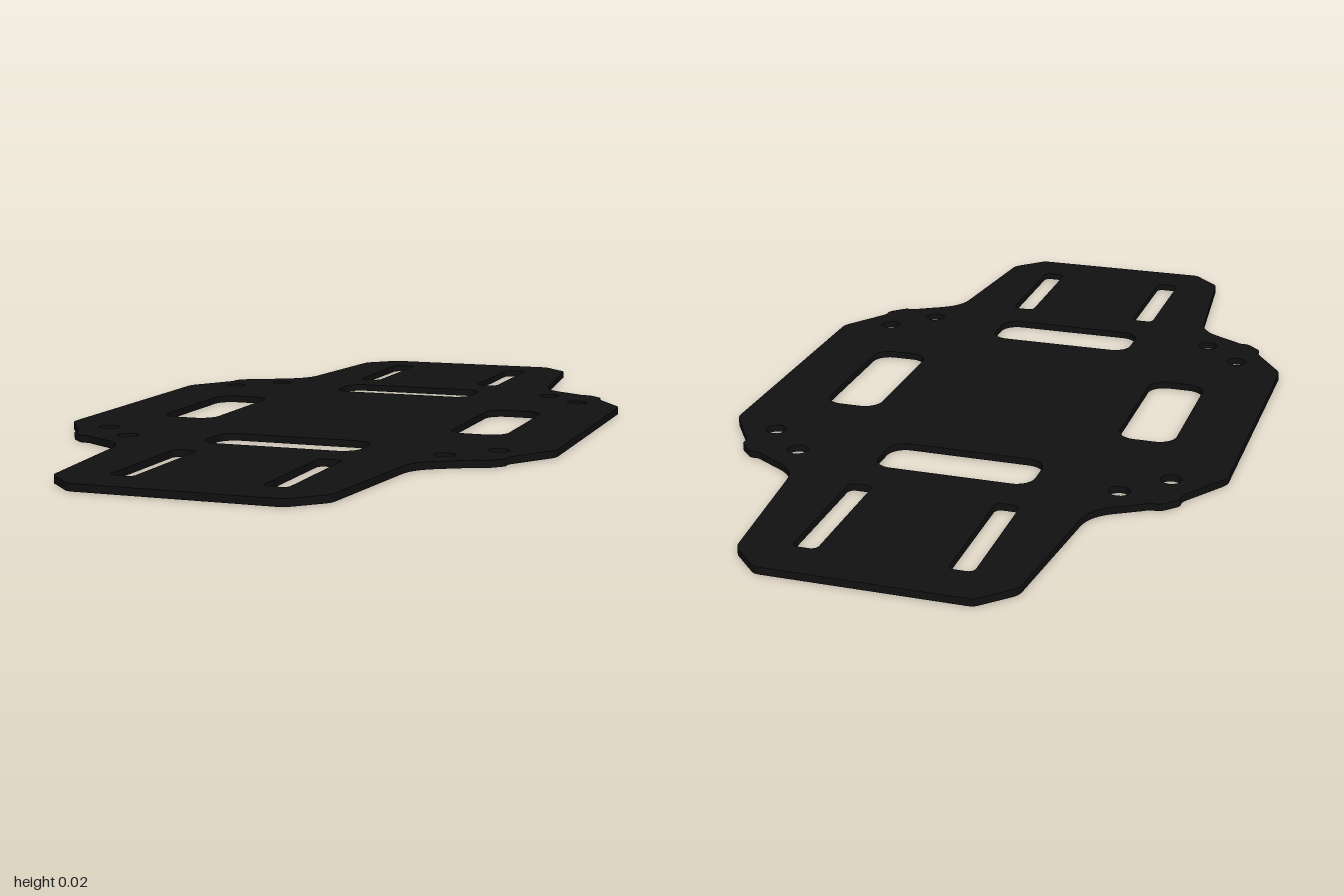
import * as THREE from 'three';

const THICKNESS = 0.016;

// Rounded rectangular cut-out centred on (cx, cy)
function roundedSlot(cx, cy, w, h, r) {
  const p = new THREE.Path();
  const x = w / 2 - r, y = h / 2 - r;
  p.absarc(cx + x, cy + y, r, 0, Math.PI / 2);
  p.absarc(cx - x, cy + y, r, Math.PI / 2, Math.PI);
  p.absarc(cx - x, cy - y, r, Math.PI, Math.PI * 1.5);
  p.absarc(cx + x, cy - y, r, Math.PI * 1.5, Math.PI * 2);
  p.closePath();
  return p;
}

function roundHole(cx, cy, r) {
  return new THREE.Path().absarc(cx, cy, r, 0, Math.PI * 2);
}

// One quarter of the outline, from the side edge round to the end edge
function quarterOutline() {
  const q = new THREE.Path();
  q.moveTo(0.575, 0.31);
  q.quadraticCurveTo(0.575, 0.325, 0.565, 0.34);
  q.lineTo(0.506, 0.428);
  // small ear around the two screw holes
  q.quadraticCurveTo(0.499, 0.44, 0.5, 0.448);
  q.quadraticCurveTo(0.502, 0.459, 0.494, 0.467);
  q.lineTo(0.472, 0.489);
  q.quadraticCurveTo(0.464, 0.497, 0.454, 0.495);
  q.quadraticCurveTo(0.443, 0.494, 0.433, 0.503);
  // sweep into the tapered end
  q.lineTo(0.378, 0.535);
  q.quadraticCurveTo(0.331, 0.562, 0.326, 0.612);
  q.lineTo(0.295, 0.918);
  q.quadraticCurveTo(0.293, 0.932, 0.284, 0.941);
  q.lineTo(0.233, 0.992);
  q.quadraticCurveTo(0.225, 1, 0.213, 1);
  return q.getPoints(6);
}

export function createModel() {
  const quarter = quarterOutline();
  const back = [...quarter].reverse();
  const mirror = (pts, sx, sy) => pts.map(p => new THREE.Vector2(p.x * sx, p.y * sy));
  const shape = new THREE.Shape([
    ...quarter, ...mirror(back, -1, 1), ...mirror(quarter, -1, -1), ...mirror(back, 1, -1),
  ]);

  for (const s of [-1, 1]) {
    // large windows at the ends and sides of the centre
    shape.holes.push(roundedSlot(0, s * 0.421, 0.36, 0.134, 0.042));
    shape.holes.push(roundedSlot(s * 0.355, 0, 0.132, 0.36, 0.042));
    for (const t of [-1, 1]) {
      // strap slots and paired screw holes
      shape.holes.push(roundedSlot(s * 0.164, t * 0.742, 0.054, 0.308, 0.015));
      shape.holes.push(roundHole(s * 0.368, t * 0.456, 0.024));
      shape.holes.push(roundHole(s * 0.46, t * 0.366, 0.024));
    }
  }

  const geometry = new THREE.ExtrudeGeometry(shape, {
    depth: THICKNESS, bevelEnabled: false, curveSegments: 8,
  });
  geometry.rotateX(-Math.PI / 2);

  const plate = new THREE.Mesh(geometry, new THREE.MeshStandardMaterial({ color: 0x111111 }));
  plate.name = 'framePlate';

  const group = new THREE.Group();
  group.name = 'mountingPlate';
  group.add(plate);
  return group;
}
